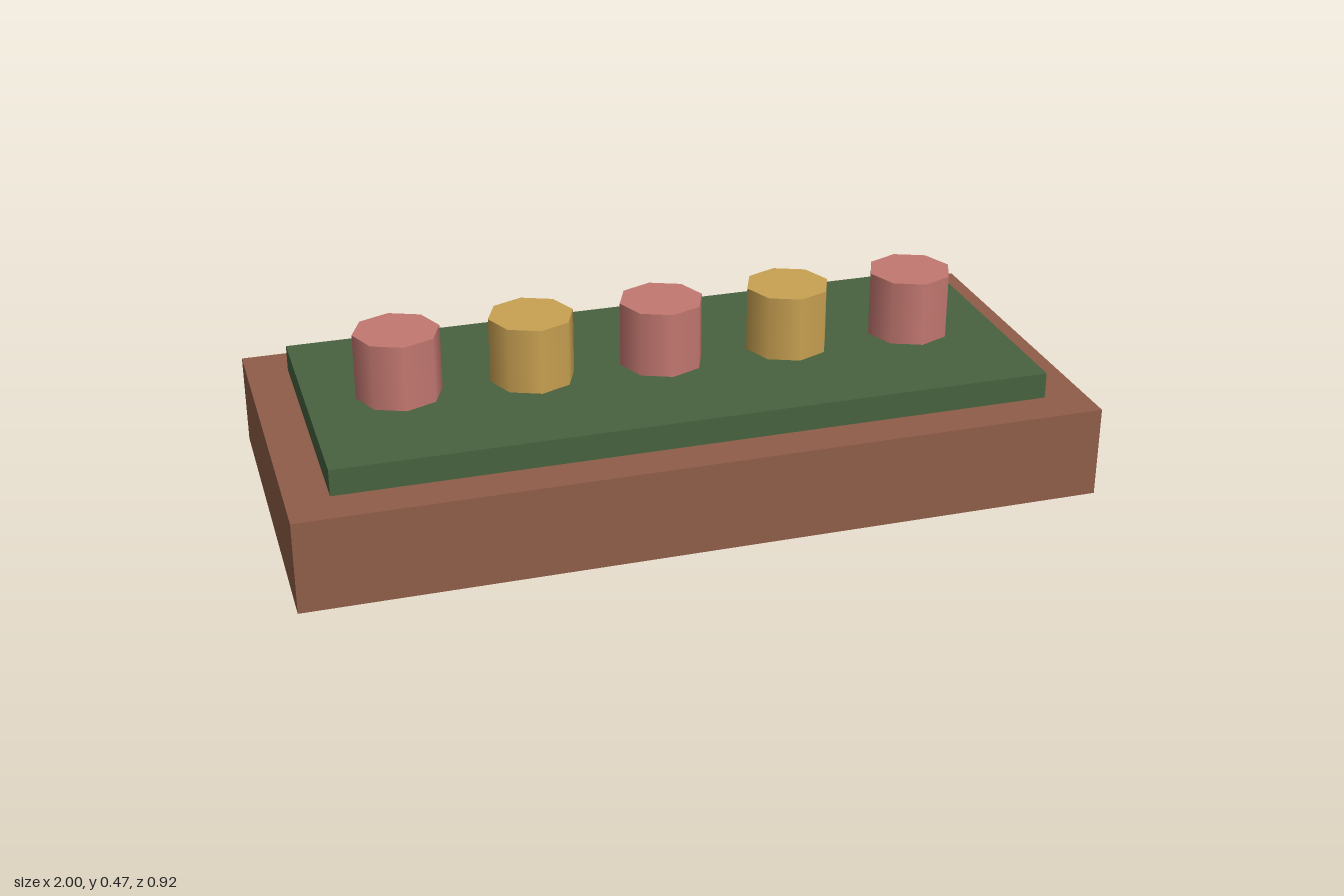
import * as THREE from 'three';

function material(name, color) {
  const m = new THREE.MeshStandardMaterial({ color });
  m.name = name;
  return m;
}

export function createModel() {
  const model = new THREE.Group();
  model.name = 'pegBoard';
  const brown = material('brown', 0x8f5d48);
  const green = material('green', 0x48623f);
  const pink = material('pink', 0xc47871);
  const gold = material('gold', 0xc9a152);

  // Adds a part standing on height y
  function add(name, geometry, mat, x, y, height) {
    const mesh = new THREE.Mesh(geometry, mat);
    mesh.name = name;
    mesh.position.set(x, y + height / 2, 0);
    model.add(mesh);
  }

  // Wooden base and the raised green panel on it
  add('base', new THREE.BoxGeometry(2, 0.233, 0.916), brown, 0, 0, 0.233);
  add('panel', new THREE.BoxGeometry(1.79, 0.067, 0.708), green, 0, 0.233, 0.067);

  // Row of five eight-sided, smooth-shaded pegs in alternating colours
  const peg = new THREE.CylinderGeometry(0.107, 0.107, 0.167, 8);
  for (let i = 0; i < 5; i++) {
    add(`peg${i + 1}`, peg, i % 2 ? gold : pink, (i - 2) / 3, 0.3, 0.167);
  }
  return model;
}
